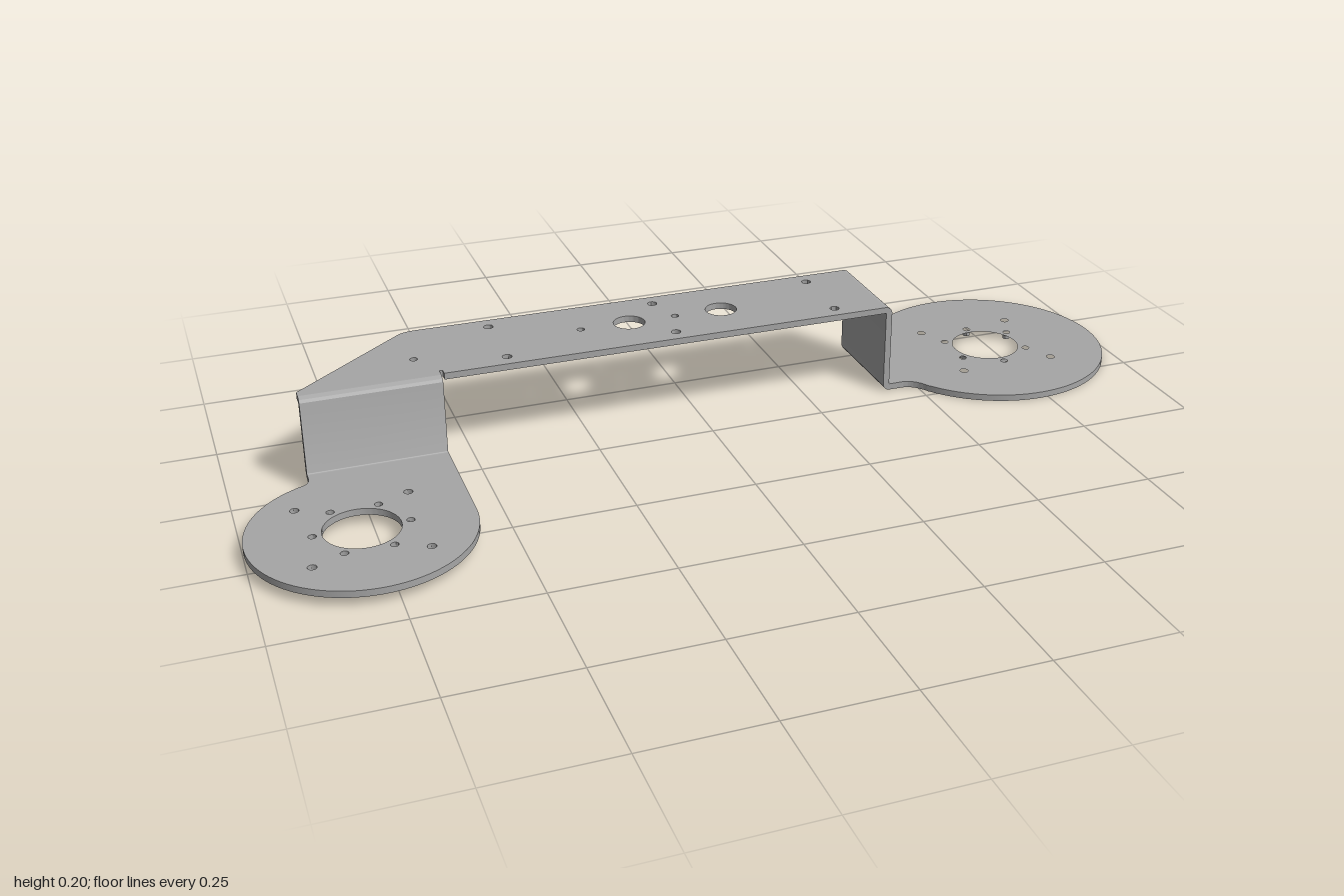
import * as THREE from 'three';
import { toCreasedNormals } from 'three/addons/utils/BufferGeometryUtils.js';

const T = 0.014;    // sheet thickness
const TOP = 0.2;    // upper face of the bridge
const BEND = 0.016; // outer bend radius

const steel = new THREE.MeshStandardMaterial({ color: 0xa6a6a6 });
steel.name = 'sheet steel';

function extrude(shape, depth) {
  return new THREE.ExtrudeGeometry(shape, { depth, bevelEnabled: false, curveSegments: 40 });
}

function part(name, geometry) {
  const mesh = new THREE.Mesh(toCreasedNormals(geometry, 0.6), steel);
  mesh.name = name;
  return mesh;
}

// Flat sheet drawn in (x, z), with its upper face at the given height
function sheet(name, shape, top) {
  return part(name, extrude(shape, T).rotateX(Math.PI / 2).translate(0, top, 0));
}

function drill(shape, x, z, r) {
  const hole = new THREE.Path();
  hole.absarc(x, z, r, 0, Math.PI * 2, true);
  shape.holes.push(hole);
}

// Large bore, ring of six small holes and four outer mounting holes
function drillMount(shape, x, z, turn) {
  drill(shape, x, z, 0.075);
  for (let i = 0; i < 6; i++) {
    const a = turn + i * Math.PI / 3;
    drill(shape, x + 0.093 * Math.cos(a), z + 0.093 * Math.sin(a), 0.008);
  }
  for (const sx of [-1, 1]) for (const sz of [-1, 1]) drill(shape, x + sx * 0.11, z + sz * 0.11, 0.009);
}

// Z-shaped web with both bends; u = 0 is its outer face
function webProfile(low) {
  const s = new THREE.Shape();
  const r = BEND - T;
  s.moveTo(-0.02, TOP);
  s.lineTo(-BEND, TOP);
  s.absarc(-BEND, TOP - BEND, BEND, Math.PI / 2, 0, true);
  s.lineTo(0, low + BEND);
  s.absarc(r, low + BEND, r, Math.PI, Math.PI * 1.5, false);
  s.lineTo(0.005, low + T);
  s.lineTo(0.005, low);
  s.lineTo(r, low);
  s.absarc(r, low + BEND, BEND, Math.PI * 1.5, Math.PI, true);
  s.lineTo(-T, TOP - BEND);
  s.absarc(-BEND, TOP - BEND, r, 0, Math.PI / 2, false);
  s.lineTo(-0.02, TOP - T);
  s.closePath();
  return s;
}

function bridgeShape() {
  const s = new THREE.Shape();
  s.moveTo(-0.845, -0.055);
  s.lineTo(-0.845, -0.068);
  s.lineTo(-0.605, -0.273);
  s.quadraticCurveTo(-0.59, -0.285, -0.565, -0.285);
  s.lineTo(0.415, -0.285);
  s.lineTo(0.415, -0.055);
  // bend relief notch beside the front web
  s.lineTo(-0.553, -0.055);
  s.lineTo(-0.553, -0.07);
  s.lineTo(-0.56, -0.07);
  s.lineTo(-0.56, -0.055);
  s.closePath();
  for (const x of [-0.128, 0.08]) drill(s, x, -0.17, 0.034);
  for (const x of [-0.415, -0.05, 0.313]) for (const z of [-0.25, -0.09]) drill(s, x, z, 0.01);
  for (const x of [-0.235, -0.025]) drill(s, x, -0.17, 0.008);
  drill(s, -0.597, -0.142, 0.008);
  return s;
}

function largeMountShape() {
  const s = new THREE.Shape();
  s.moveTo(0.44, -0.055);
  s.lineTo(0.465, -0.055);
  s.quadraticCurveTo(0.495, -0.055, 0.514, -0.016);
  s.absarc(0.733, -0.17, 0.267, 2.52, -2.52, true);
  s.quadraticCurveTo(0.495, -0.285, 0.465, -0.285);
  s.lineTo(0.44, -0.285);
  s.closePath();
  drillMount(s, 0.733, -0.17, Math.PI / 6);
  return s;
}

function smallMountShape() {
  const s = new THREE.Shape();
  s.moveTo(-0.56, -0.03);
  s.lineTo(-0.56, 0.215);
  s.absarc(-0.78, 0.215, 0.22, 0, 4.34, false);
  s.quadraticCurveTo(-0.845, 0.003, -0.845, -0.015);
  s.lineTo(-0.845, -0.03);
  s.closePath();
  drillMount(s, -0.78, 0.213, 0);
  return s;
}

export function createModel() {
  const model = new THREE.Group();
  model.name = 'bentBracket';
  model.add(
    sheet('bridgePlate', bridgeShape(), TOP),
    sheet('largeMountPlate', largeMountShape(), T),
    sheet('smallMountPlate', smallMountShape(), 0.02 + T),
    part('leftWeb', extrude(webProfile(0), 0.23).translate(0.435, 0, -0.285)),
    part('frontWeb', extrude(webProfile(0.02), 0.285).rotateY(-Math.PI / 2).translate(-0.56, 0, -0.035)),
  );
  return model;
}
